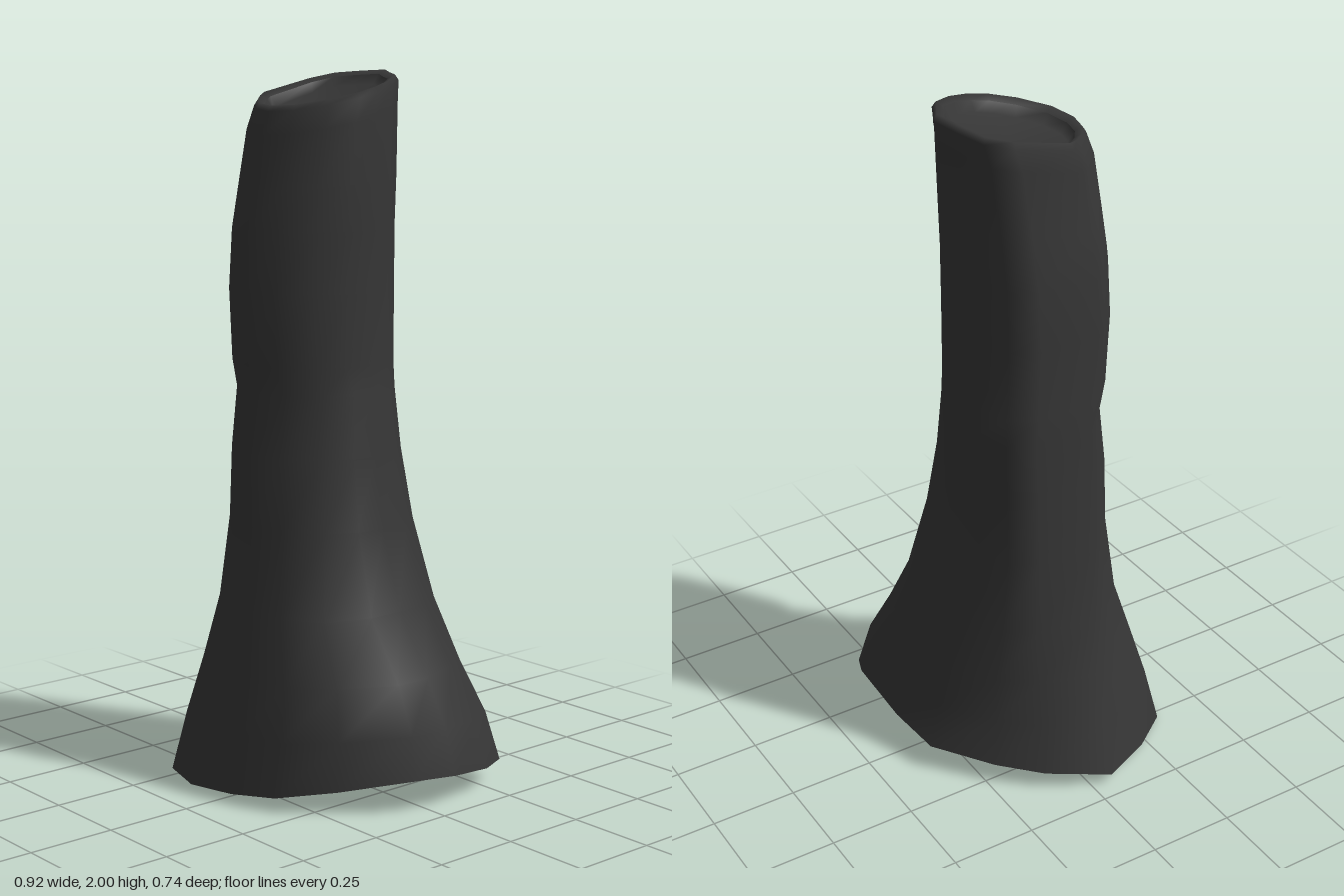
import * as THREE from 'three';

// Outlines run left edge -> front -> right edge -> back, as [x, z] or [x, z, y]
const BASE = [
  [-.46, .05, .045], [-.37, .22, .02], [-.28, .34, .012], [-.15, .37, .005],
  [.02, .36, .02], [.18, .335, .045], [.31, .22, .07], [.445, .05, .1],
  [.46, -.08, .09], [.43, -.23, .07], [.385, -.325, .065], [.31, -.355, .085],
  [.06, -.37, .09], [-.115, -.355, .085], [-.27, -.23, .07], [-.37, -.12, .06],
];
const RIM = [
  [-.24, .03], [-.21, .07], [-.16, .12], [-.1, .16], [-.02, .185], [.07, .17],
  [.14, .1], [.17, .02], [.165, -.05], [.14, -.12], [.09, -.19], [.04, -.215],
  [-.02, -.25], [-.11, -.235], [-.2, -.21], [-.235, -.14],
];
// Trunk levels: y, reach to back left, reach to front left, min x, max x, min z, max z
const LEVELS = [
  [.2, .46, .375, -.42, .43, -.335, .335], [.35, .385, .345, -.375, .37, -.31, .3],
  [.52, .31, .293, -.34, .25, -.262, .255], [.75, .25, .22, -.315, .21, -.225, .24],
  [.95, .215, .192, -.303, .195, -.22, .24], [1.12, .197, .168, -.3, .175, -.22, .215],
  [1.2, .195, .178, -.295, .165, -.215, .235], [1.4, .195, .178, -.29, .17, -.21, .25],
  [1.57, .195, .178, -.285, .17, -.21, .24], [1.7, .198, .176, -.265, .175, -.215, .23],
  [1.87, .198, .17, -.247, .175, -.235, .21],
];
const N = BASE.length;

// Fit an outline into the given x and z range
function fit(points, x0, x1, z0, z1) {
  const xs = points.map((p) => p[0]), zs = points.map((p) => p[1]);
  const map = THREE.MathUtils.mapLinear;
  return points.map(([x, z]) => [
    map(x, Math.min(...xs), Math.max(...xs), x0, x1),
    map(z, Math.min(...zs), Math.max(...zs), z0, z1),
  ]);
}

// Swell or pinch an outline so it reaches the given distance along the diagonal (1, side)
function reach(points, side, distance) {
  const along = ([x, z]) => (x + side * z) * Math.SQRT1_2;
  const change = distance - Math.max(...points.map(along));
  return points.map((p) => {
    const c = Math.max(0, along(p) / Math.hypot(...p));
    const d = change * c ** 4 * Math.SQRT1_2;
    return [p[0] + d, p[1] + side * d];
  });
}

// Skin closed rings of [x, y, z]; optionally close the last one with a centre point
function skin(rings, centre) {
  const pos = rings.flat(2), index = [];
  for (let i = 0; i < rings.length - 1; i++) {
    for (let j = 0; j < N; j++) {
      const k = (j + 1) % N, a = i * N + j, b = i * N + k;
      index.push(a, b, b + N, a, b + N, a + N);
    }
  }
  if (centre) {
    const last = (rings.length - 1) * N;
    pos.push(...centre);
    for (let j = 0; j < N; j++) index.push(last + j, last + (j + 1) % N, rings.length * N);
  }
  const g = new THREE.BufferGeometry();
  g.setAttribute('position', new THREE.Float32BufferAttribute(pos, 3));
  g.setIndex(index);
  g.computeVertexNormals();
  return g;
}

export function createModel() {
  const group = new THREE.Group();
  const bark = new THREE.MeshStandardMaterial({ color: 0x363636, side: THREE.DoubleSide });

  // Flared, open-bottomed trunk: the base outline blends into the rim outline
  const rings = [BASE.map(([x, z, y]) => [x, y, z])];
  for (const [y, backReach, frontReach, ...box] of LEVELS) {
    const t = THREE.MathUtils.smoothstep(y, .1, .9);
    const tilt = .22 * THREE.MathUtils.smoothstep(y, 1.5, 1.9);
    const lower = fit(BASE, ...box), upper = fit(RIM, ...box);
    const blend = lower.map(([x, z], i) => [
      THREE.MathUtils.lerp(x, upper[i][0], t), THREE.MathUtils.lerp(z, upper[i][1], t),
    ]);
    const outline = reach(reach(blend, -1, backReach), 1, frontReach);
    rings.push(outline.map(([x, z], i) => [
      x, y - tilt * z + (y < .3 ? (BASE[i][2] - .05) * .4 : 0), z,
    ]));
  }

  // Slanted, rounded lip and sunken cut face
  const cx = -.035, cz = -.03;
  const lip = (s, drop) => RIM.map(([x, z]) => [
    cx + (x - cx) * s, 1.945 - .22 * z - drop, cz + (z - cz) * s,
  ]);
  rings.push(lip(1, .015), lip(.95, 0), lip(.85, .012));
  const trunk = new THREE.Mesh(skin(rings), bark);
  trunk.name = 'trunk';

  const cut = new THREE.Mesh(skin([lip(.85, .012), lip(.76, .04)], [cx, 1.905, cz]), bark);
  cut.name = 'cutFace';

  group.add(trunk, cut);
  return group;
}
